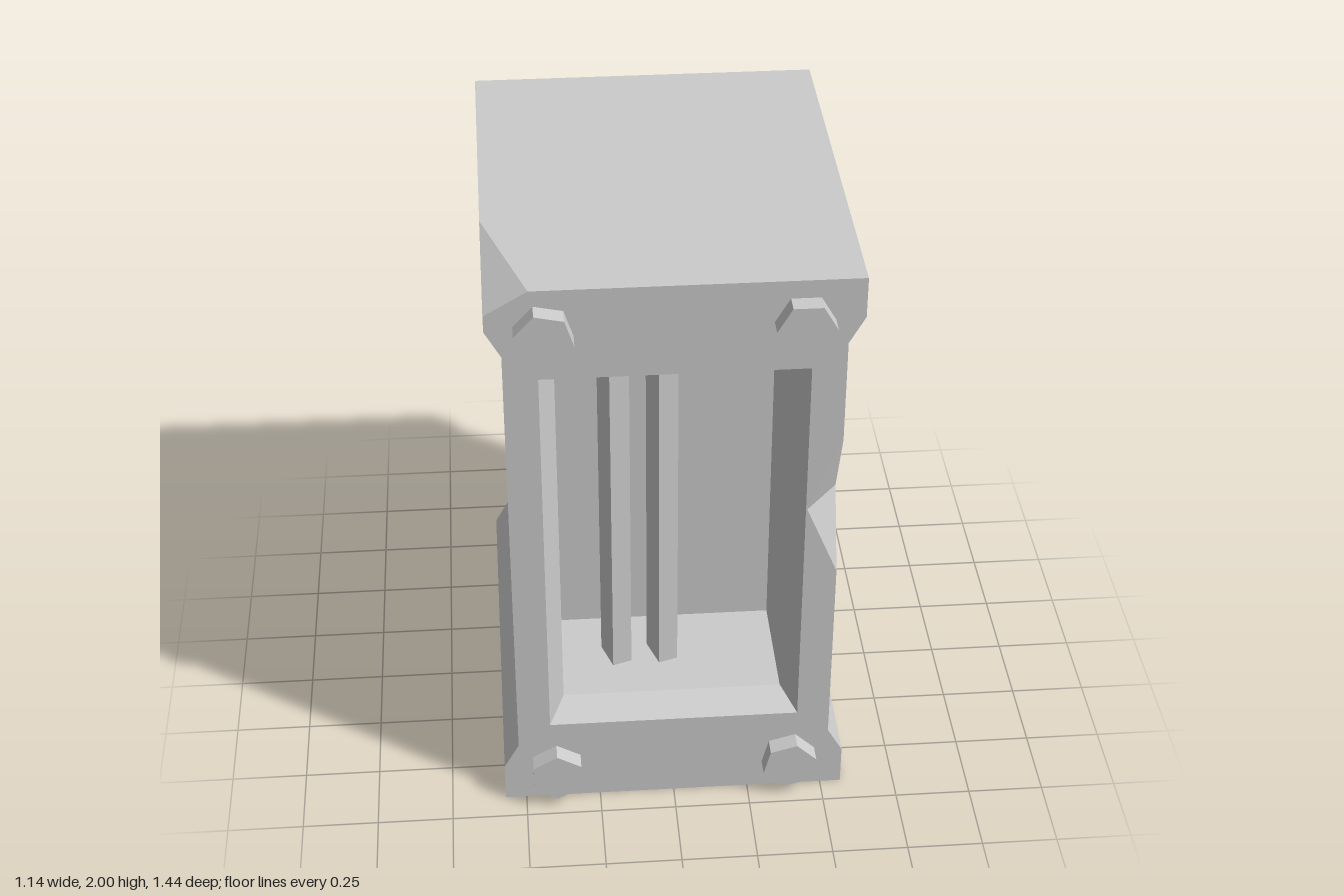
import * as THREE from 'three';
import { mergeGeometries } from 'three/addons/utils/BufferGeometryUtils.js';

const FRONT = 0.66, BACK = -0.72;

// Flat convex polygons (or fans from their first corner) joined into one faceted geometry
function facets(polygons) {
  const points = [];
  for (const p of polygons) {
    for (let i = 1; i < p.length - 1; i++) points.push(...p[0], ...p[i], ...p[i + 1]);
  }
  const geometry = new THREE.BufferGeometry();
  geometry.setAttribute('position', new THREE.Float32BufferAttribute(points, 3));
  geometry.computeVertexNormals();
  return geometry;
}

function flatFace(outline, hole) {
  const vectors = (list) => list.map(([x, y]) => new THREE.Vector2(x, y));
  const shape = new THREE.Shape(vectors(outline));
  if (hole) shape.holes.push(new THREE.Path(vectors(hole)));
  const geometry = new THREE.ShapeGeometry(shape).toNonIndexed();
  geometry.deleteAttribute('uv');
  return geometry;
}

const rectangle = (l, b, r, t) => [[l, b], [r, b], [r, t], [l, t]];

export function createModel() {
  const model = new THREE.Group();
  const material = new THREE.MeshStandardMaterial({ color: 0xcccccc, flatShading: true });
  const add = (name, geometry, parent = model) => {
    const mesh = new THREE.Mesh(geometry, material);
    mesh.name = name;
    parent.add(mesh);
    return mesh;
  };

  // Cross-section of the casing, flared at the foot and the head
  const half = [[0.57, 0], [0.57, 0.14], [0.52, 0.23], [0.52, 1.775], [0.57, 1.865], [0.57, 2]];
  const profile = [[-0.57, 0], ...half, ...half.slice(1).reverse().map(([x, y]) => [-x, y])];
  const opening = rectangle(-0.413, 0.315, 0.413, 1.69);

  // Corners of the chipped top edge and of the notch in the side
  const chip = { top: [-0.435, 2, FRONT], side: [-0.57, 1.92, FRONT], rear: [-0.57, 2, 0.235] };
  const notch = {
    top: [0.52, 1.42, FRONT], bottom: [0.52, 0.91, FRONT],
    face: [0.417, 1.16, FRONT], side: [0.52, 1.175, 0.555],
  };

  // Outer walls, cut around the damage
  const walls = profile.map((p, i) => {
    const q = profile[(i + 1) % profile.length];
    const f0 = [...p, FRONT], b0 = [...p, BACK], b1 = [...q, BACK], f1 = [...q, FRONT];
    if (i === 3) return [notch.side, notch.bottom, f0, b0, b1, f1, notch.top];
    if (i === 6) return [f0, b0, b1, chip.rear, chip.top];
    if (i === 7) return [chip.rear, b0, b1, f1, chip.side];
    return [f0, b0, b1, f1];
  });

  // Front and back plates
  const frontOutline = [
    ...profile.slice(0, 4), notch.bottom, notch.face, notch.top,
    ...profile.slice(4, 7), chip.top, chip.side, ...profile.slice(8),
  ];
  add('casing', mergeGeometries([
    facets(walls),
    flatFace(frontOutline, opening).translate(0, 0, FRONT),
    flatFace(profile).rotateY(Math.PI).translate(0, 0, BACK),
  ]));

  // Damage facets
  add('chippedCorner', facets([[chip.top, chip.rear, chip.side]]));
  add('sideNotch', facets([
    [notch.top, notch.face, notch.side],
    [notch.bottom, notch.side, notch.face],
  ]));

  // Bevelled opening and the recess behind it
  const inner = rectangle(-0.363, 0.365, 0.363, 1.64);
  const ring = (corners, z) => corners.map((c) => [...c, z]);
  const tunnel = (a, b) => a.map((p, i) => [p, a[(i + 1) % 4], b[(i + 1) % 4], b[i]]);
  const lip = ring(inner, 0.57), floor = ring(inner, 0.175);
  add('openingBevel', facets(tunnel(ring(opening, FRONT), lip)));
  add('recess', facets([...tunnel(lip, floor), floor]));

  // Upright bars, turned a little inside the recess
  const bars = new THREE.Group();
  bars.name = 'bars';
  model.add(bars);
  for (const [x, z] of [[-0.174, 0.37], [-0.018, 0.367]]) {
    const bar = add('bar', new THREE.BoxGeometry(0.067, 1.275, 0.107), bars);
    bar.position.set(x, 1.004, z);
    bar.rotation.y = 0.33;
  }

  // Hexagonal bolts, each with its own turn
  const bolts = new THREE.Group();
  bolts.name = 'bolts';
  model.add(bolts);
  for (const [x, y, turn] of [[-0.394, 1.86, -12], [0.387, 1.86, 0], [-0.394, 0.13, 30], [0.387, 0.13, 16]]) {
    const geometry = new THREE.CylinderGeometry(0.092, 0.092, 0.08, 6);
    geometry.rotateX(Math.PI / 2).rotateZ(THREE.MathUtils.degToRad(turn + 30));
    add('bolt', geometry, bolts).position.set(x, y, 0.68);
  }

  return model;
}
